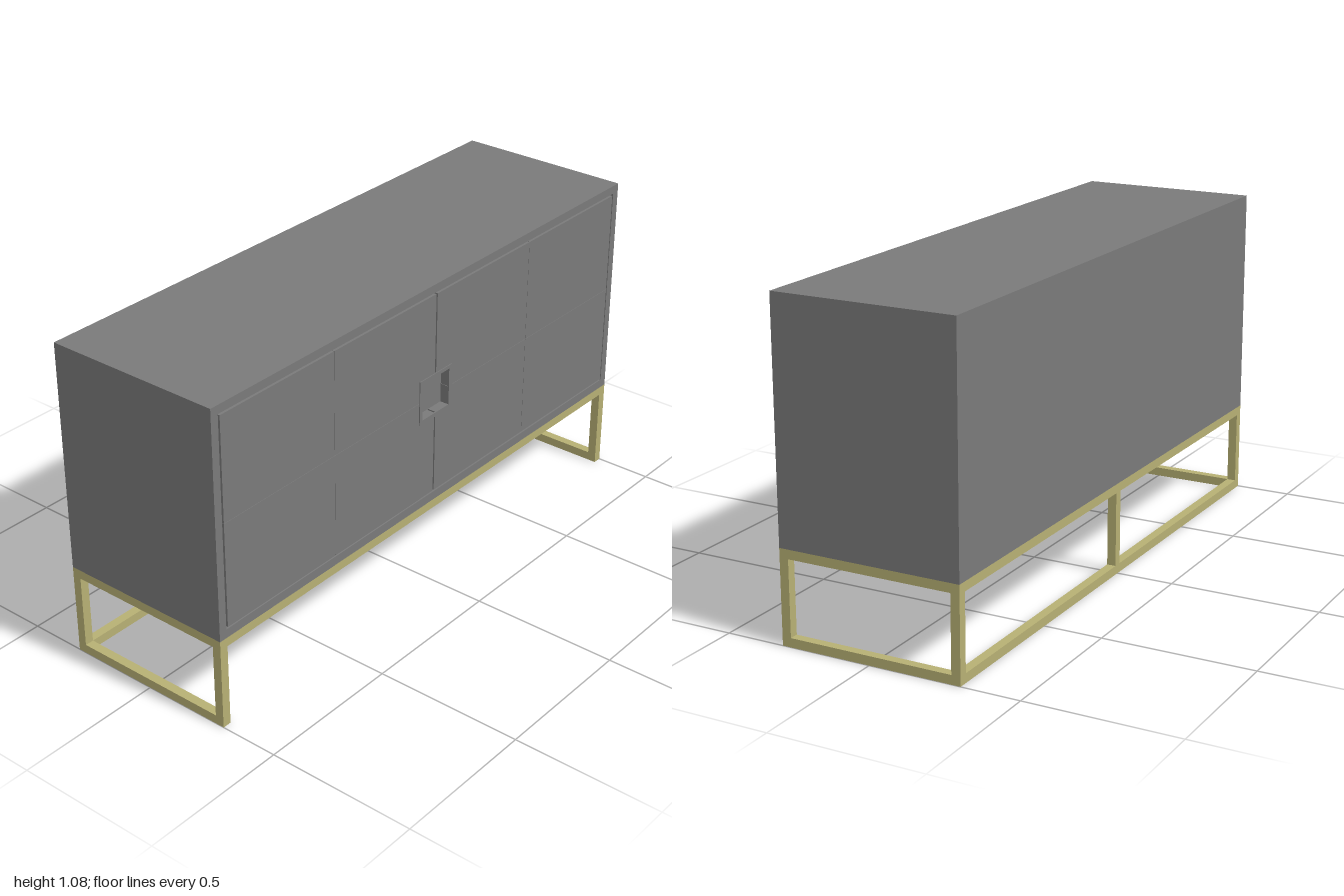
import * as THREE from 'three';

export function createModel() {
  const model = new THREE.Group();
  const grey = new THREE.MeshStandardMaterial({ color: 0x7a7a7a });
  grey.name = 'grey lacquer';
  const brass = new THREE.MeshStandardMaterial({ color: 0xb7b074 });
  brass.name = 'brass';

  // box given by its limits on each axis
  function box(name, mat, [x0, x1], [y0, y1], [z0, z1], parent = model) {
    const mesh = new THREE.Mesh(new THREE.BoxGeometry(x1 - x0, y1 - y0, z1 - z0), mat);
    mesh.position.set((x0 + x1) / 2, (y0 + y1) / 2, (z0 + z1) / 2);
    mesh.name = name;
    parent.add(mesh);
  }

  // flat outline in the z-y plane, thickened from x0 to x1
  function plate(name, shape, x0, x1, parent = model) {
    const geo = new THREE.ExtrudeGeometry(shape, { depth: x1 - x0, bevelEnabled: false });
    geo.rotateY(Math.PI / 2).translate(x0, 0, 0);
    const mesh = new THREE.Mesh(geo, grey);
    mesh.name = name;
    parent.add(mesh);
  }
  const outline = (pts) => new THREE.Shape(pts.map(([a, b]) => new THREE.Vector2(a, b)));
  const rect = (w, y0, y1) => outline([[-w, y0], [w, y0], [w, y1], [-w, y1]]);

  const back = -0.307, front = 0.303, inner = 0.275;
  const base = 0.308, top = 1.077, bar = 0.03, midY = 0.695;

  // cabinet body with a border around the doors
  box('cabinetBody', grey, [back, inner], [base, top], [-1, 1]);
  const border = rect(1, base, top);
  border.holes.push(rect(0.972, 0.338, 1.049));
  plate('doorSurround', border, inner, front);

  // two doors, each of four panels; inner panels are notched for the pull
  const doors = new THREE.Group();
  doors.name = 'doors';
  const seam = 0.0006, gap = 0.003, notchZ = 0.067, notchY = 0.064;
  for (const s of [-1, 1]) {
    for (const v of [-1, 1]) {
      const edge = v > 0 ? 1.043 : 0.344;
      const y = midY + v * seam;
      const ny = midY + v * notchY;
      plate('innerDoorPanel', outline([
        [s * notchZ, y], [s * (0.485 - seam), y], [s * (0.485 - seam), edge],
        [s * gap, edge], [s * gap, ny], [s * notchZ, ny],
      ]), inner, front + 0.001, doors);
      plate('outerDoorPanel', outline([
        [s * (0.485 + seam), y], [s * 0.966, y], [s * 0.966, edge], [s * (0.485 + seam), edge],
      ]), inner, front + 0.001, doors);
    }
  }
  model.add(doors);

  // square pull framing the recess
  const ring = rect(0.08, 0.617, 0.771);
  ring.holes.push(rect(notchZ, midY - notchY, midY + notchY));
  plate('doorPull', ring, front, 0.307);

  // open metal stand
  const stand = new THREE.Group();
  stand.name = 'stand';
  const backX = [back, back + bar], frontX = [front - bar, front];
  const between = [back + bar, front - bar];
  const topY = [base - bar, base], footY = [0, bar];
  for (const x of [backX, frontX]) box('topLongRail', brass, x, topY, [-1, 1], stand);
  for (const z of [[-1, -1 + bar], [1 - bar, 1]]) {
    box('topEndRail', brass, between, topY, z, stand);
    box('footEndRail', brass, between, footY, z, stand);
    for (const x of [backX, frontX]) box('cornerLeg', brass, x, [0, base - bar], z, stand);
  }
  box('footBackRail', brass, backX, footY, [-1 + bar, 1 - bar], stand);
  box('middleLeg', brass, backX, [bar, base - bar], [-bar / 2, bar / 2], stand);
  model.add(stand);

  return model;
}
